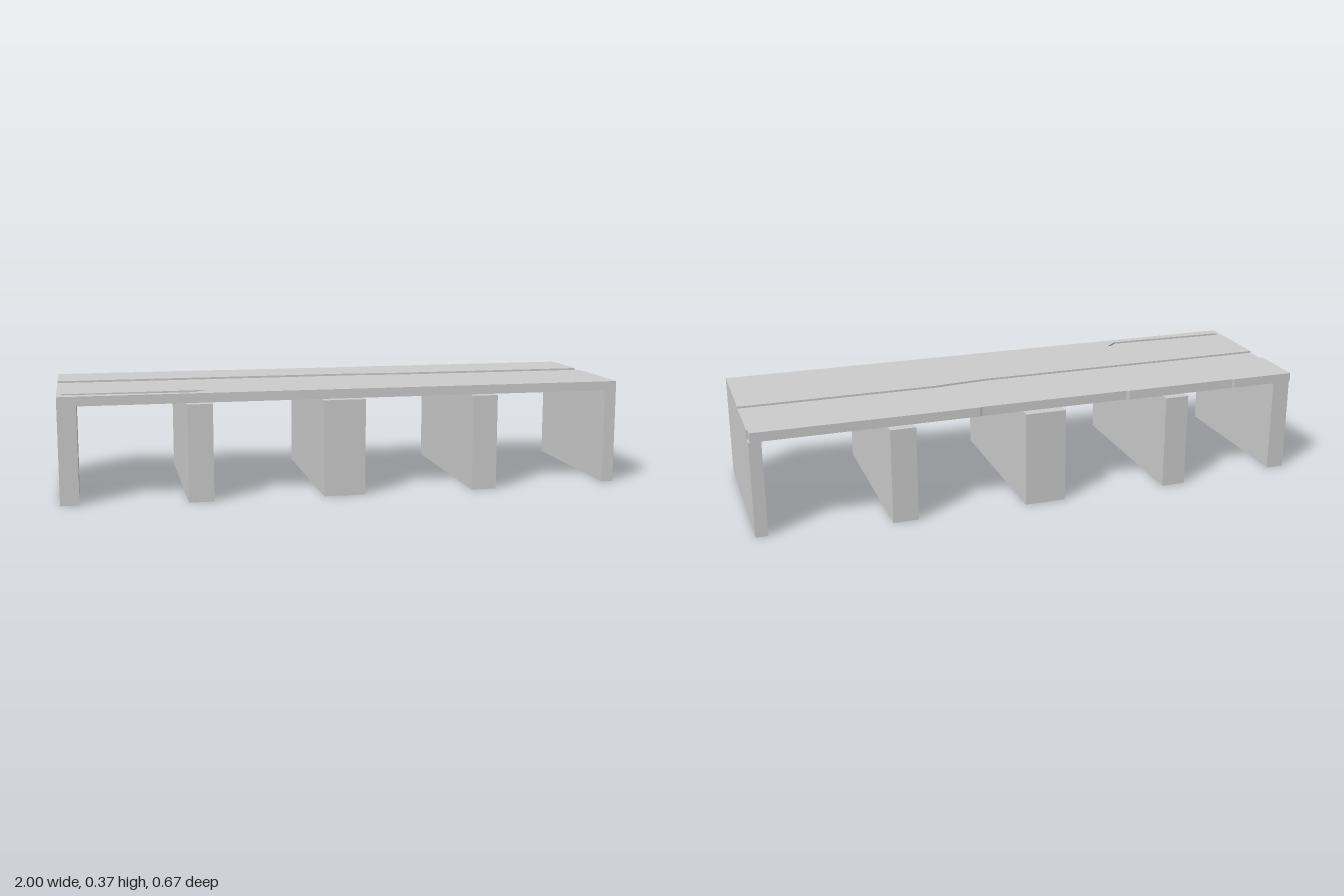
import * as THREE from 'three';

const material = new THREE.MeshStandardMaterial({ color: 0xcccccc, flatShading: true });
const UNDERSIDE = 0.34, GROOVE = 0.366, TOP = 0.373;

// Shape drawn in plan from [x, z] points
const plan = (points) => points.map(([x, z]) => new THREE.Vector2(x, -z));

// Horizontal plate between two heights, with an optional opening
function plate(name, points, y0, y1, hole) {
  const shape = new THREE.Shape(plan(points));
  if (hole) shape.holes.push(new THREE.Path(plan(hole)));
  const geometry = new THREE.ExtrudeGeometry(shape, { depth: y1 - y0, bevelEnabled: false });
  geometry.rotateX(-Math.PI / 2).translate(0, y0, 0);
  const mesh = new THREE.Mesh(geometry, material);
  mesh.name = name;
  return mesh;
}

// Upright wall standing on the ground, reaching up to the deck
function wall(name, x0, x1, halfDepth) {
  const mesh = new THREE.Mesh(new THREE.BoxGeometry(x1 - x0, UNDERSIDE, 2 * halfDepth), material);
  mesh.position.set((x0 + x1) / 2, UNDERSIDE / 2, 0);
  mesh.name = name;
  return mesh;
}

export function createModel() {
  const group = new THREE.Group();
  group.name = 'piersAndDeck';

  // Deck edges, listed from -x to +x
  const backEdge = [[-1, -0.308], [-0.77, -0.308], [-0.76, -0.305], [-0.35, -0.305], [-0.34, -0.301],
    [0.2, -0.301], [0.21, -0.304], [0.995, -0.304], [0.995, -0.27], [1, -0.27]];
  const frontEdge = [[-1, 0.303], [1, 0.303]];

  // Long groove that narrows right of the middle
  const grooveBack = [[-1, -0.1], [0.1, -0.1], [0.3, -0.085], [1, -0.085]];
  const grooveFront = [[-1, -0.01], [0.1, -0.01], [0.3, -0.03], [1, -0.03]];

  // Short tapered recess near the front corner
  const recess = [[-0.985, 0.235], [-0.985, 0.26], [-0.54, 0.275], [-0.49, 0.23]];

  const band = (a, b) => [...a, ...[...b].reverse()];
  group.add(
    plate('deck', band(backEdge, frontEdge), UNDERSIDE, GROOVE),
    plate('backSurface', band(backEdge, grooveBack), GROOVE, TOP),
    plate('frontSurface', band(grooveFront, frontEdge), GROOVE, TOP, recess),
  );

  // End walls are flush with the deck, the piers project beyond it
  group.add(
    wall('rightEndWall', -1, -0.935, 0.303),
    wall('leftEndWall', 0.957, 1, 0.303),
    wall('rightPier', -0.567, -0.48, 0.337),
    wall('centrePier', -0.095, 0.053, 0.337),
    wall('leftPier', 0.445, 0.535, 0.337),
  );
  return group;
}
